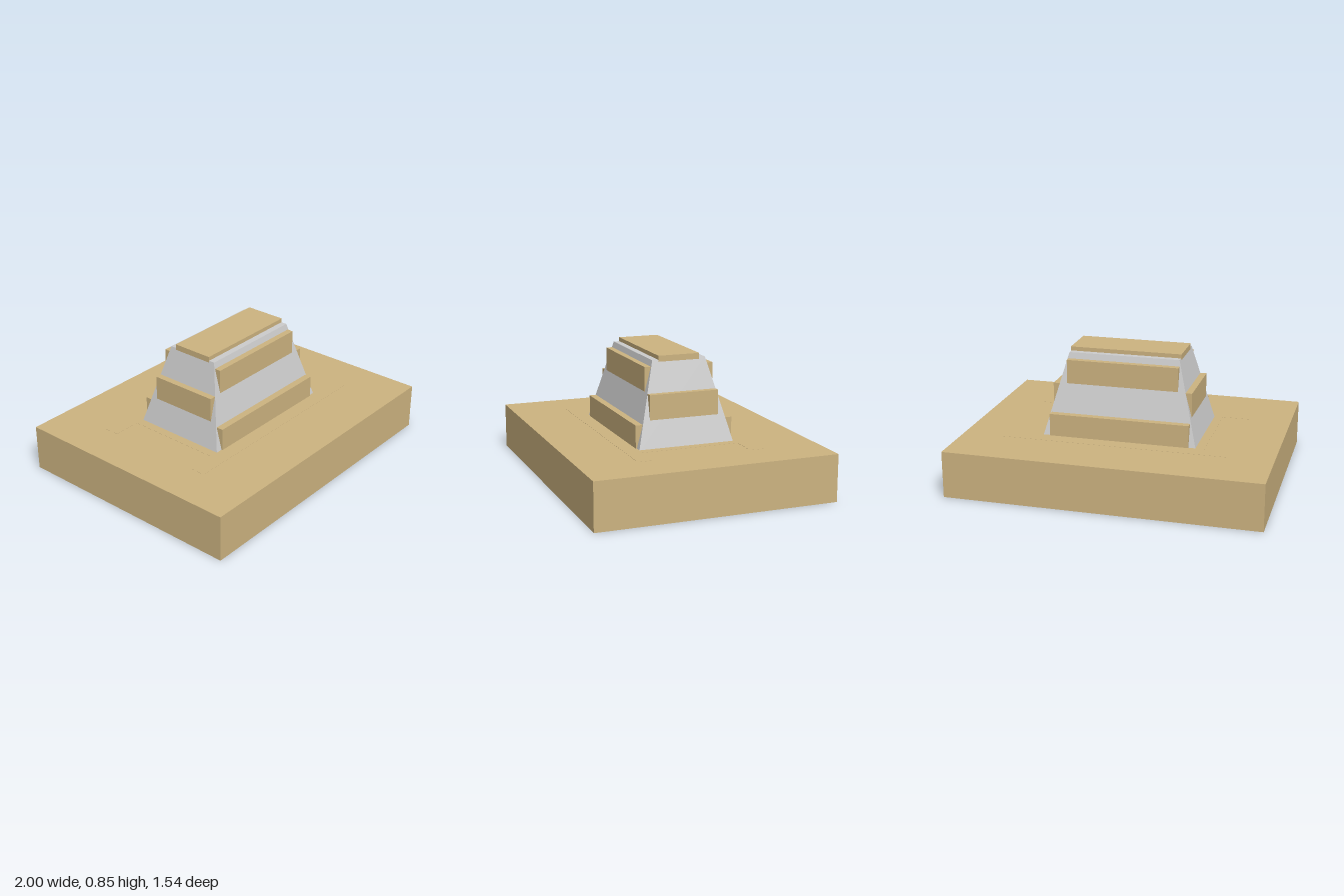
import * as THREE from 'three';

export function createModel() {
  const model = new THREE.Group();
  const tan = new THREE.MeshStandardMaterial({ color: 0xccb380 });
  const grey = new THREE.MeshStandardMaterial({ color: 0xcccccc, flatShading: true });

  const add = (name, geometry, material) => {
    const mesh = new THREE.Mesh(geometry, material);
    mesh.name = name;
    model.add(mesh);
    return mesh;
  };

  // Box given by its half width, half depth, and bottom and top heights
  const block = (name, hx, hz, y0, y1) => {
    const geometry = new THREE.BoxGeometry(hx * 2, y1 - y0, hz * 2);
    geometry.translate(0, (y0 + y1) / 2, 0);
    return add(name, geometry, tan);
  };

  // Ground slab
  block('base', 1, 0.77, 0, 0.3);

  // H-shaped panel lying almost flush in the top of the slab
  const half = [[0.55, -0.315], [0.73, -0.315], [0.73, -0.41]];
  const right = [...half, ...half.map(([x, z]) => [x, -z]).reverse()];
  // order runs up the right side, then back down the mirrored left side
  const side = [right[2], right[1], right[0], right[5], right[4], right[3]];
  const outline = [...side, ...side.map(([x, z]) => [-x, z]).reverse()];
  const panel = new THREE.ExtrudeGeometry(
    new THREE.Shape(outline.map(([x, z]) => new THREE.Vector2(x, z))),
    { depth: 0.011, bevelEnabled: false }
  );
  panel.rotateX(-Math.PI / 2);
  panel.translate(0, 0.29, 0);
  add('floorPanel', panel, tan);

  // Sloping core: a box whose top corners are drawn inwards
  const core = new THREE.BoxGeometry(2, 0.54, 2);
  core.translate(0, 0.55, 0);
  const p = core.attributes.position;
  for (let i = 0; i < p.count; i++) {
    const top = p.getY(i) > 0.5;
    p.setX(i, p.getX(i) * (top ? 0.357 : 0.5));
    p.setZ(i, p.getZ(i) * (top ? 0.175 : 0.316));
  }
  core.computeVertexNormals();
  add('slopedCore', core, grey);

  // Stepped blocks stacked through the core
  const steps = [
    ['lowerStep', 0.45, 0.318, 0.29, 0.445],
    ['middleStep', 0.45, 0.225, 0.445, 0.625],
    ['upperStep', 0.36, 0.225, 0.625, 0.782],
    ['cap', 0.36, 0.135, 0.782, 0.846],
  ];
  for (const step of steps) block(...step);

  return model;
}
